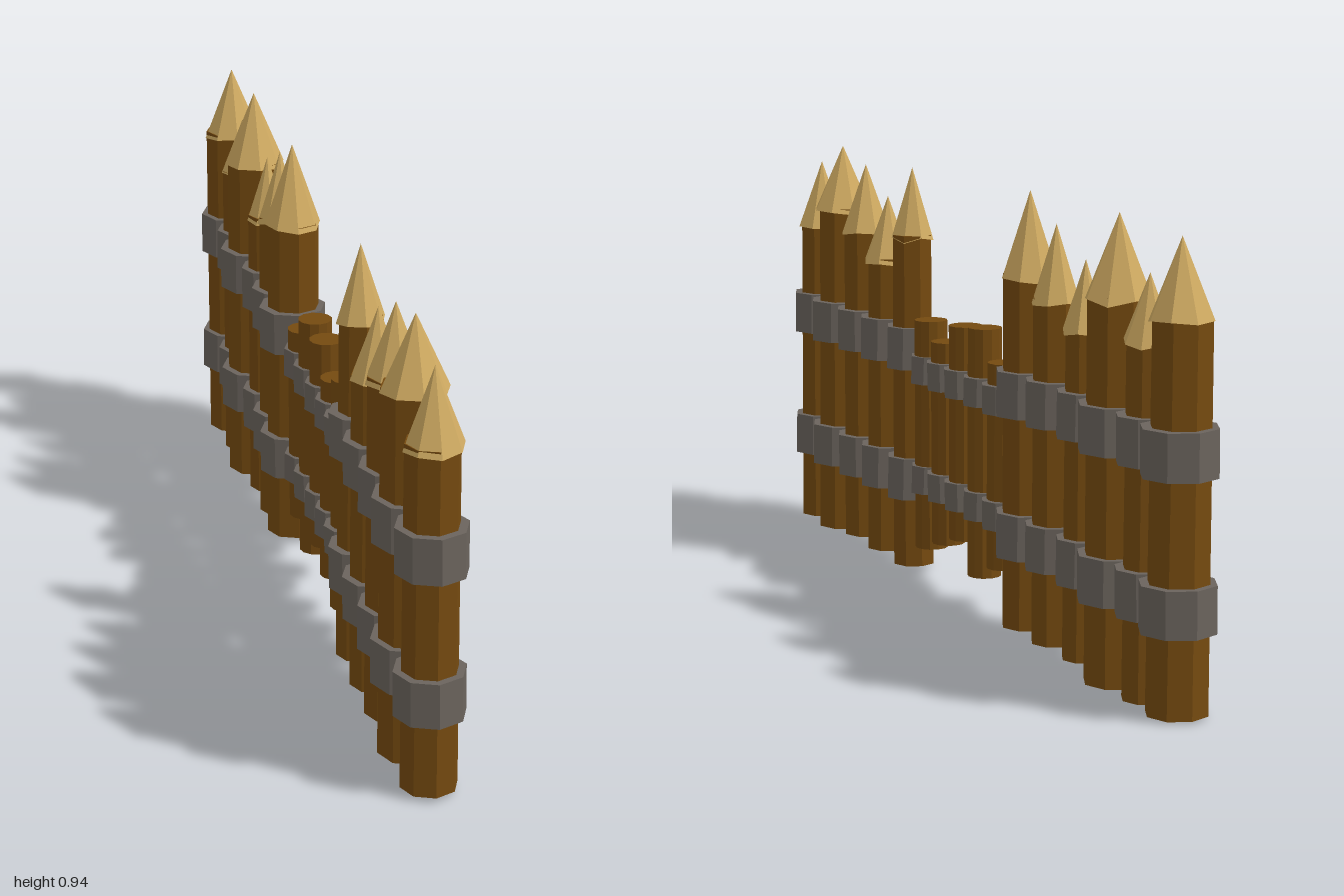
import * as THREE from 'three';

const mat = (name, color) => {
  const m = new THREE.MeshStandardMaterial({ color, flatShading: true });
  m.name = name;
  return m;
};

// repeatable value in -1..1
const wobble = (n) => {
  const s = Math.sin(n * 127.1 + 3.7) * 43758.5453;
  return 2 * (s - Math.floor(s)) - 1;
};

// z, radius, bottom, shoulder height, tip height
const STAKES = [
  [0.93, 0.058, 0.01, 0.72, 0.88], [0.79, 0.067, 0.01, 0.775, 0.93],
  [0.645, 0.058, 0.02, 0.74, 0.9], [0.51, 0.055, 0.015, 0.69, 0.84],
  [0.365, 0.049, 0.01, 0.76, 0.92], [-0.26, 0.06, 0.015, 0.75, 0.935],
  [-0.385, 0.051, 0.01, 0.72, 0.88], [-0.52, 0.046, 0.01, 0.68, 0.825],
  [-0.665, 0.067, 0, 0.765, 0.935], [-0.795, 0.05, 0, 0.7, 0.835],
  [-0.922, 0.063, 0.005, 0.76, 0.92],
];

// z, bottom, top
const POSTS = [
  [0.26, 0.07, 0.59], [0.165, 0.1, 0.555], [0.07, 0.13, 0.605],
  [-0.03, 0.07, 0.615], [-0.13, 0.11, 0.555],
];

export function createModel() {
  const model = new THREE.Group();
  const wood = mat('brown wood', 0x754a10);
  const cut = mat('pale cut wood', 0xd0ab62);
  const iron = mat('grey band', 0x6b645d);

  // upright prism from y0 to y1, top ring slightly shifted
  const prism = (name, material, z, r0, r1, y0, y1, sides, shift, seed) => {
    const geo = new THREE.CylinderGeometry(r1, r0, y1 - y0, sides);
    const p = geo.attributes.position;
    for (let i = 0; i < p.count; i++) {
      if (p.getY(i) > 0) {
        p.setX(i, p.getX(i) + shift * wobble(seed));
        p.setZ(i, p.getZ(i) + shift * wobble(seed + 1));
      }
    }
    geo.computeVertexNormals();
    const mesh = new THREE.Mesh(geo, material);
    mesh.name = name;
    mesh.position.set(0, (y0 + y1) / 2, z);
    return mesh;
  };

  // tall sharpened stakes, each with two bands
  STAKES.forEach(([z, r, y0, shoulder, tip], i) => {
    const stake = new THREE.Group();
    stake.name = 'sharpenedStake';
    stake.add(prism('stakeBody', wood, z, r, r * 0.95, y0, shoulder + 0.01, 8, 0.003, i * 5));

    // carved point with an uneven lower edge
    const h = tip - shoulder;
    const geo = new THREE.ConeGeometry(r * 1.04, h, 8, 1, true);
    const p = geo.attributes.position;
    for (let k = 0; k < p.count; k++) {
      if (p.getY(k) < 0) {
        const side = Math.round(Math.atan2(p.getX(k), p.getZ(k)) / (Math.PI / 4) + 8) % 8;
        p.setY(k, p.getY(k) + 0.007 * wobble(i * 11 + side));
      }
    }
    geo.computeVertexNormals();
    const point = new THREE.Mesh(geo, cut);
    point.name = 'stakePoint';
    point.position.set(0, shoulder + h / 2, z);
    stake.add(point);

    for (const y of [0.167, 0.467]) {
      stake.add(prism('stakeBand', iron, z, r + 0.015, r + 0.015, y, y + 0.095, 8, 0.002, i * 7));
    }
    model.add(stake);
  });

  // short blunt posts in the gap
  POSTS.forEach(([z, y0, y1], i) => {
    const post = new THREE.Group();
    post.name = 'shortPost';
    post.add(prism('postBody', wood, z, 0.037, 0.037, y0, y1, 12, 0.003, i * 3 + 90));
    for (const y of [0.198, 0.448]) {
      post.add(prism('postBand', iron, z, 0.049, 0.049, y, y + 0.062, 8, 0.002, i * 7 + 50));
    }
    model.add(post);
  });

  return model;
}
